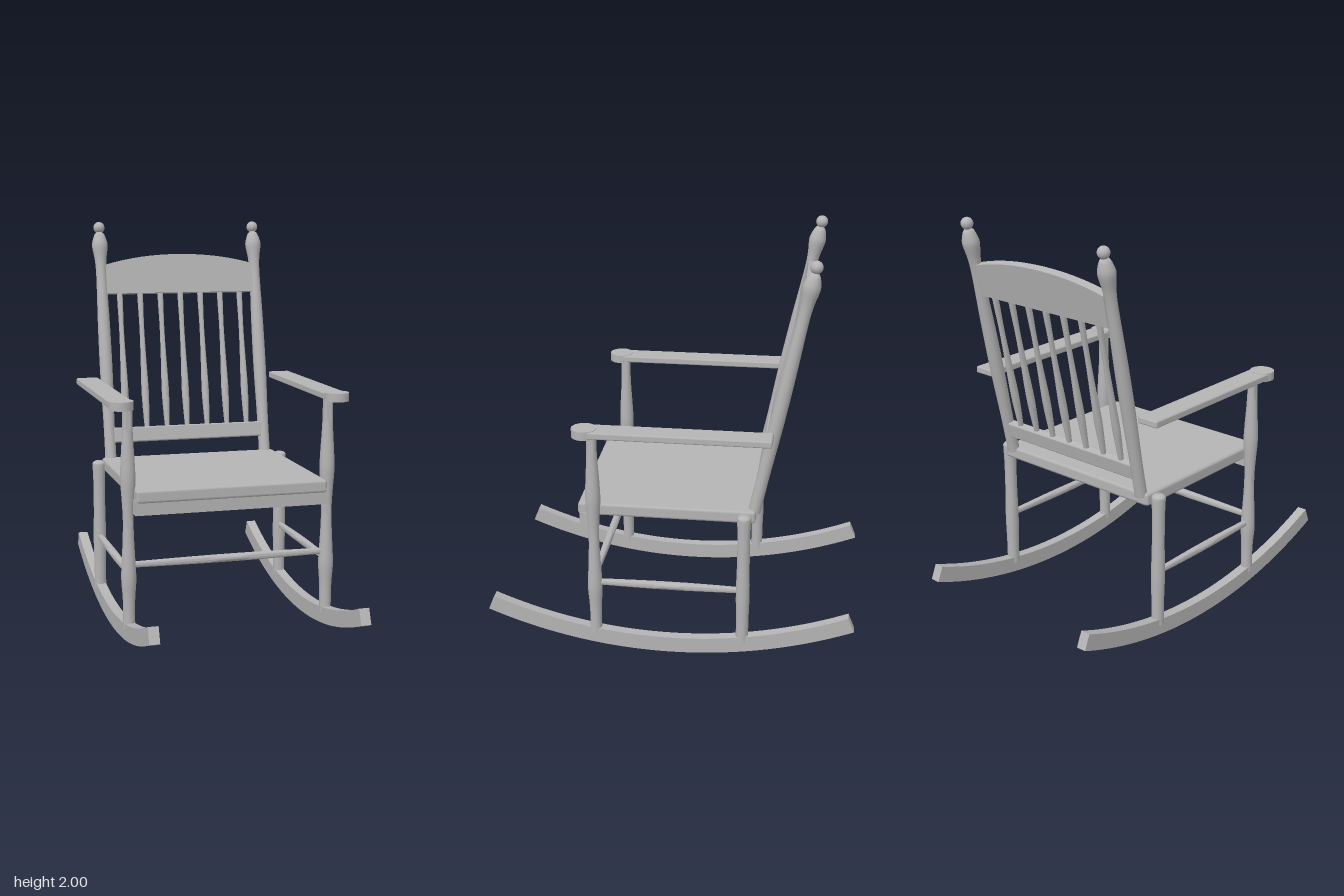
import * as THREE from 'three';
import { toCreasedNormals } from 'three/addons/utils/BufferGeometryUtils.js';
import { RoundedBoxGeometry } from 'three/addons/geometries/RoundedBoxGeometry.js';

export function createModel() {
  const wood = new THREE.MeshStandardMaterial({ color: 0xb4b4b4 });
  wood.name = 'grey wood';
  const chair = new THREE.Group();
  chair.name = 'rockingChair';

  function add(parent, name, geometry, x = 0, y = 0, z = 0) {
    const mesh = new THREE.Mesh(geometry, wood);
    mesh.name = name;
    mesh.position.set(x, y, z);
    parent.add(mesh);
    return mesh;
  }

  // Turned part from [radius, height] pairs, smoothed and closed at both ends
  function turned(profile, sides = 16) {
    const curve = new THREE.SplineCurve(profile.map(([r, h]) => new THREE.Vector2(r, h)));
    const pts = curve.getPoints(profile.length * 3);
    pts.unshift(new THREE.Vector2(0, profile[0][1]));
    pts.push(new THREE.Vector2(0, profile[profile.length - 1][1]));
    return toCreasedNormals(new THREE.LatheGeometry(pts, sides), 0.8);
  }

  const board = (w, h, d, bevel = 0.008) => new RoundedBoxGeometry(w, h, d, 1, bevel);

  // Rocker: a slice of a ring, extruded across its width
  const R = 2.39, T = 0.08, A = 0.39;
  const ring = new THREE.Shape();
  ring.absarc(0, R, R, -Math.PI / 2 - A, -Math.PI / 2 + A, false);
  ring.absarc(0, R, R - T, -Math.PI / 2 + A, -Math.PI / 2 - A, true);
  ring.closePath();
  const rocker = toCreasedNormals(
    new THREE.ExtrudeGeometry(ring, { depth: 0.05, bevelEnabled: false, curveSegments: 24 })
      .translate(0, 0, -0.025).rotateY(Math.PI / 2), 0.5);

  const frontLeg = turned([[0.03, 0.08], [0.029, 0.16], [0.031, 0.24], [0.037, 0.33], [0.033, 0.42],
    [0.028, 0.52], [0.026, 0.62], [0.031, 0.72], [0.037, 0.81], [0.034, 0.9], [0.028, 1.0],
    [0.025, 1.08], [0.025, 1.16]]);
  const backLeg = turned([[0.031, 0.08], [0.031, 0.2], [0.034, 0.34], [0.031, 0.5], [0.031, 0.65],
    [0.034, 0.74], [0.031, 0.757], [0.02, 0.765]]);
  const stretcher = (half) => turned([[0.015, -half], [0.018, -half * 0.6], [0.02, -half * 0.2],
    [0.02, half * 0.2], [0.018, half * 0.6], [0.015, half]], 12);

  // Base and arms, mirrored left and right
  for (const [s, side] of [[1, 'left'], [-1, 'right']]) {
    const half = new THREE.Group();
    half.name = side + 'Side';
    chair.add(half);
    add(half, 'rocker', rocker, s * 0.5);
    add(half, 'frontLeg', frontLeg, s * 0.5, 0, 0.368);
    add(half, 'backLeg', backLeg, s * 0.5, 0, -0.362);
    add(half, 'sideStretcher', stretcher(0.36).rotateX(Math.PI / 2), s * 0.5, 0.36, 0);
    add(half, 'armRest', board(0.115, 0.035, 0.88), s * 0.533, 1.173, -0.05);
    add(half, 'armRestEnd', toCreasedNormals(new THREE.CylinderGeometry(0.06, 0.06, 0.042, 28), 0.5),
      s * 0.535, 1.172, 0.395);
  }
  add(chair, 'frontStretcher', stretcher(0.49).rotateZ(Math.PI / 2), 0, 0.397, 0.368);

  // Seat and front apron
  add(chair, 'seat', board(0.95, 0.065, 0.865, 0.015), 0, 0.74, 0.018);
  add(chair, 'frontApron', new THREE.BoxGeometry(0.96, 0.07, 0.05), 0, 0.685, 0.415);

  // Reclined back, built upright from the seat and then tilted
  const back = new THREE.Group();
  back.name = 'back';
  back.position.set(0, 0.76, -0.405);
  back.rotation.x = -0.204;
  chair.add(back);

  const post = turned([[0.03, -0.005], [0.03, 0.2], [0.034, 0.45], [0.033, 0.7], [0.029, 0.9],
    [0.028, 1.0], [0.032, 1.07], [0.042, 1.135], [0.037, 1.17], [0.026, 1.2], [0.016, 1.21]]);
  const neck = new THREE.CylinderGeometry(0.014, 0.017, 0.03, 16);
  const knob = new THREE.SphereGeometry(0.03, 16, 12);
  for (const s of [1, -1]) {
    add(back, 'backPost', post, s * 0.427);
    add(back, 'finialNeck', neck, s * 0.427, 1.215);
    add(back, 'finialKnob', knob, s * 0.427, 1.237);
  }

  // Crest rail with a bowed top edge
  const crest = new THREE.Shape();
  crest.moveTo(-0.405, 0.88);
  crest.lineTo(0.405, 0.88);
  crest.lineTo(0.405, 1.035);
  crest.quadraticCurveTo(0.22, 1.088, 0, 1.088);
  crest.quadraticCurveTo(-0.22, 1.088, -0.405, 1.035);
  crest.closePath();
  add(back, 'crestRail', toCreasedNormals(new THREE.ExtrudeGeometry(crest,
    { depth: 0.045, bevelEnabled: false, curveSegments: 12 }), 0.5), 0, 0, -0.0225);
  add(back, 'lowerRail', board(0.82, 0.08, 0.045), 0, 0.127, 0);

  const spindle = turned([[0.012, 0.15], [0.016, 0.22], [0.02, 0.33], [0.019, 0.42], [0.015, 0.56],
    [0.013, 0.7], [0.015, 0.82], [0.016, 0.89]], 12);
  for (let i = -3; i <= 3; i++) add(back, 'spindle', spindle, i * 0.111);

  return chair;
}
